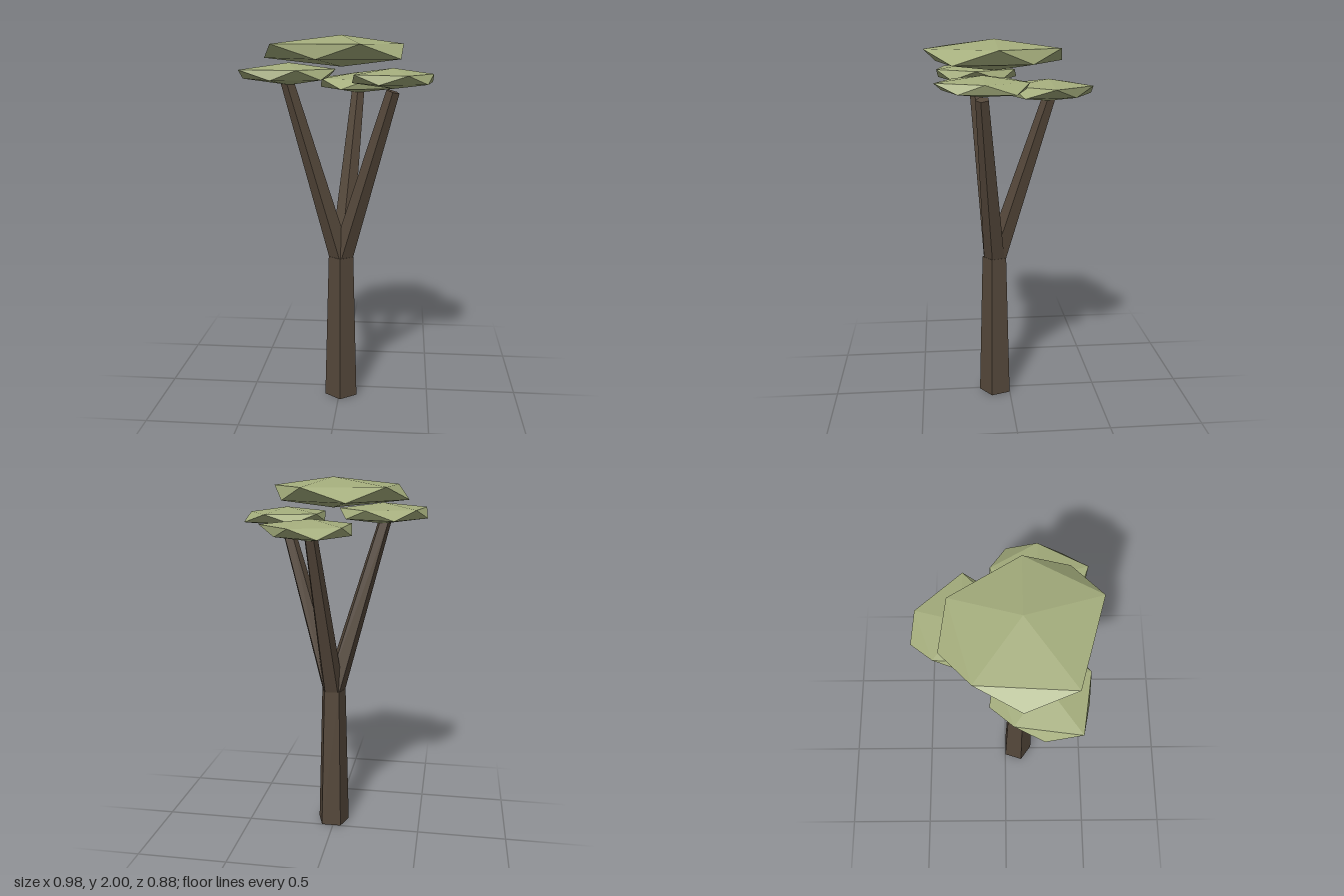
import * as THREE from 'three';

const bark = new THREE.MeshStandardMaterial({ color: 0x54473a, flatShading: true });
bark.name = 'bark brown';
const leaf = new THREE.MeshStandardMaterial({ color: 0xa4ad7c, flatShading: true });
leaf.name = 'leaf green';

// Tapered five-sided limb between two points
function limb(name, from, to, r0, r1) {
  const a = new THREE.Vector3(...from), b = new THREE.Vector3(...to);
  const dir = b.clone().sub(a);
  const mesh = new THREE.Mesh(new THREE.CylinderGeometry(r1, r0, dir.length(), 5), bark);
  mesh.position.copy(a).add(b).multiplyScalar(0.5);
  mesh.quaternion.setFromUnitVectors(new THREE.Vector3(0, 1, 0), dir.normalize());
  mesh.name = name;
  return mesh;
}

// Flattened, uneven icosahedron: two staggered rings of five between two poles
function canopy(name, center, halfHeight, upper, lower) {
  const ring = (radii, level, offset) => radii.map((r, i) => {
    const a = (i * 72 + offset) * Math.PI / 180;
    return [Math.cos(a) * r, level * halfHeight, Math.sin(a) * r];
  });
  const u = ring(upper, 0.45, 0), l = ring(lower, -0.45, 36);
  const top = [0, halfHeight, 0], bottom = [0, -halfHeight, 0];
  const points = [];
  for (let i = 0; i < 5; i++) {
    const j = (i + 1) % 5;
    points.push(top, u[j], u[i]);
    points.push(u[i], u[j], l[i]);
    points.push(u[j], l[j], l[i]);
    points.push(bottom, l[i], l[j]);
  }
  const geo = new THREE.BufferGeometry();
  geo.setAttribute('position', new THREE.Float32BufferAttribute(points.flat(), 3));
  geo.computeVertexNormals();
  const mesh = new THREE.Mesh(geo, leaf);
  mesh.position.set(...center);
  mesh.name = name;
  return mesh;
}

export function createModel() {
  const tree = new THREE.Group();
  tree.name = 'tree';

  // Trunk and the three forked branches
  const fork = [0.01, 0.8, 0.077];
  tree.add(
    limb('trunk', [0.01, 0, 0.077], [0.01, 0.82, 0.077], 0.094, 0.071),
    limb('rightBranch', fork, [-0.26, 1.77, 0.165], 0.062, 0.036),
    limb('leftBranch', fork, [0.28, 1.72, 0.155], 0.062, 0.036),
    limb('backBranch', fork, [0.08, 1.71, -0.205], 0.062, 0.036)
  );

  // Leaf pads: one wide crown above three smaller ones
  tree.add(
    canopy('crownCanopy', [0.01, 1.92, 0.077], 0.08,
      [0.32, 0.384, 0.408, 0.375, 0.353], [0.383, 0.32, 0.405, 0.394, 0.30]),
    canopy('rightCanopy', [-0.25, 1.807, 0.17], 0.056,
      [0.24, 0.22, 0.28, 0.23, 0.23], [0.22, 0.21, 0.24, 0.255, 0.23]),
    canopy('leftCanopy', [0.28, 1.785, 0.155], 0.052,
      [0.205, 0.25, 0.235, 0.235, 0.237], [0.215, 0.21, 0.21, 0.235, 0.254]),
    canopy('backCanopy', [0.08, 1.745, -0.20], 0.056,
      [0.27, 0.21, 0.235, 0.222, 0.232], [0.245, 0.25, 0.21, 0.252, 0.20])
  );
  return tree;
}
